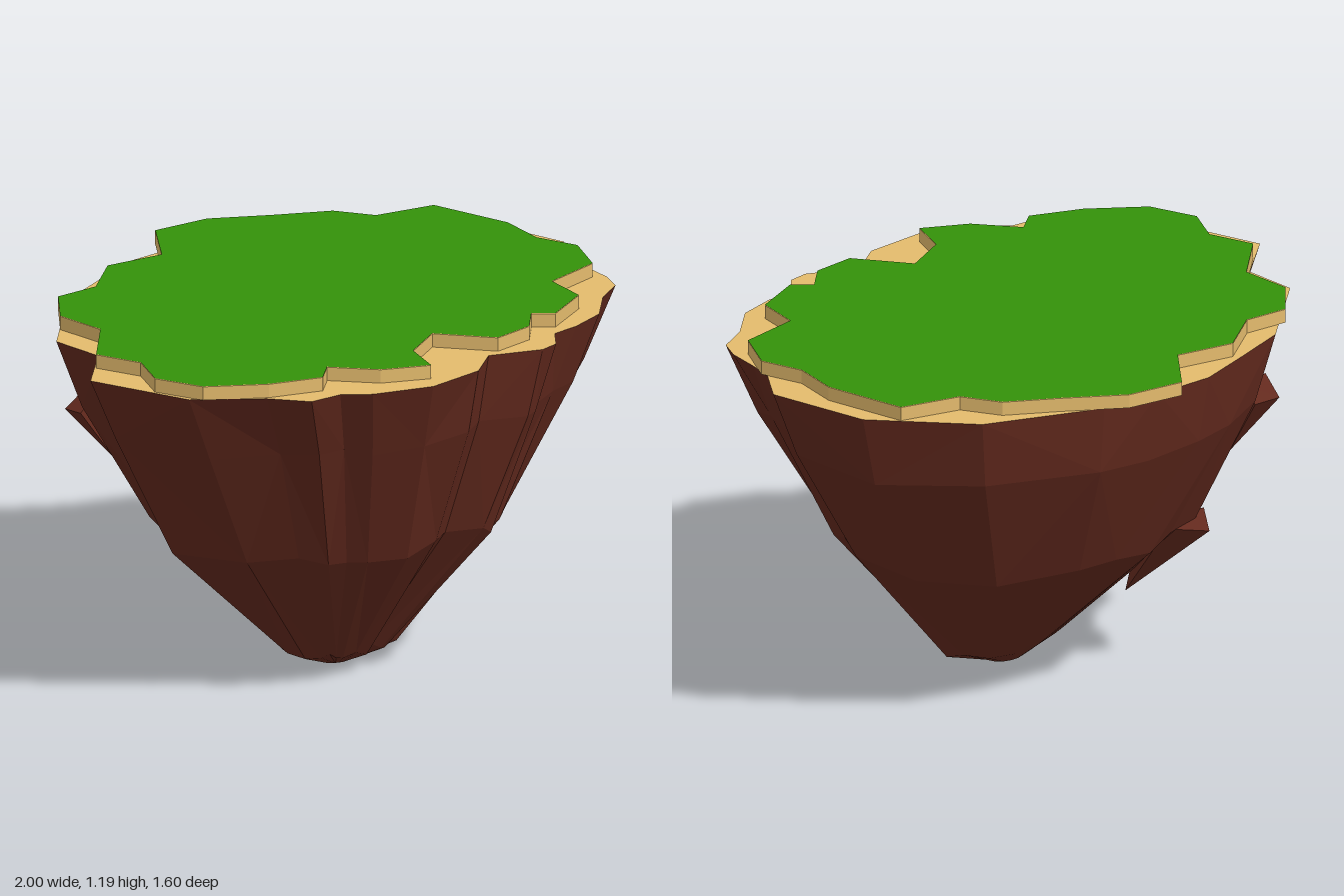
import * as THREE from 'three';
import { ConvexGeometry } from 'three/addons/geometries/ConvexGeometry.js';

const GROUND = 1.14; // height where rock meets the turf slab
const TOP = 1.185;

// Outlines as [x, z], running from the back over +x to the front
const ROCK = [
  [0.03, -0.765], [0.24, -0.73], [0.45, -0.68], [0.80, -0.47], [1.0, -0.15], [1.0, 0.21],
  [0.88, 0.33], [0.84, 0.42], [0.80, 0.53], [0.75, 0.60], [0.63, 0.64], [0.49, 0.73],
  [0.35, 0.745], [0.25, 0.735], [0.17, 0.80], [0.10, 0.80], [-0.05, 0.70], [-0.19, 0.765],
  [-0.40, 0.745], [-0.575, 0.64], [-0.64, 0.56], [-0.75, 0.53], [-0.81, 0.40], [-0.965, 0.21],
  [-1.0, -0.15], [-0.785, -0.28], [-0.75, -0.47], [-0.40, -0.69], [-0.18, -0.73],
];
const TURF = [
  [0.21, -0.80], [0.40, -0.74], [0.56, -0.59], [0.70, -0.47], [0.745, -0.335], [0.935, -0.25],
  [0.935, 0.04], [0.87, 0.20], [0.885, 0.35], [0.77, 0.495], [0.55, 0.50], [0.49, 0.65],
  [0.30, 0.70], [0.255, 0.64], [0.15, 0.71], [0, 0.70], [-0.09, 0.51], [-0.265, 0.565],
  [-0.345, 0.695], [-0.475, 0.595], [-0.555, 0.445], [-0.645, 0.495], [-0.80, 0.40],
  [-0.945, 0.25], [-0.97, 0.08], [-0.87, -0.05], [-0.89, -0.21], [-0.68, -0.35],
  [-0.65, -0.53], [-0.50, -0.65], [-0.35, -0.615], [-0.16, -0.71], [0.03, -0.64],
];

// Cross-sections of the rock: scale of the outline towards each side,
// inset of the front corners, and roughness
const RINGS = [
  { y: GROUND, right: 1, left: 1, front: 1, back: 1, cz: 0, corner: 0, rough: 0 },
  { y: 0.91, right: 0.94, left: 0.89, front: 0.94, back: 0.94, cz: 0, corner: 0.07, rough: 0.015 },
  { y: 0.50, right: 0.67, left: 0.64, front: 0.73, back: 0.70, cz: 0.01, corner: 0.09, rough: 0.02 },
  { y: 0.07, right: 0.24, left: 0.24, front: 0.18, back: 0.19, cz: 0.08, corner: 0, rough: 0.015 },
  { y: 0.005, right: 0.07, left: 0.07, front: 0.06, back: 0.06, cz: 0.07, corner: 0, rough: 0 },
];

const toShape = (pts) => new THREE.Shape(pts.map(([x, z]) => new THREE.Vector2(x, -z)));

function seeded(seed) {
  let s = seed;
  return () => {
    s = (s * 16807) % 2147483647;
    return (s / 2147483647) * 2 - 1;
  };
}

// Faceted, tapering underside lofted through the cross-sections
function rockGeometry() {
  const rnd = seeded(4321);
  const rings = RINGS.map((r) => ROCK.map(([x, z]) => {
    const k = 1 + rnd() * r.rough - 2 * r.corner * Math.abs(x) * Math.max(0, z);
    return [
      x * (x > 0 ? r.right : r.left) * k,
      r.y + rnd() * r.rough,
      z * (z > 0 ? r.front : r.back) * k + r.cz,
    ];
  }));
  const n = ROCK.length;
  const pos = [];
  for (let r = 0; r < rings.length - 1; r++) {
    for (let i = 0; i < n; i++) {
      const j = (i + 1) % n;
      const [a, b, c, d] = [rings[r][i], rings[r][j], rings[r + 1][j], rings[r + 1][i]];
      if ((i + r) % 2) pos.push(...a, ...b, ...c, ...a, ...c, ...d);
      else pos.push(...a, ...b, ...d, ...b, ...c, ...d);
    }
  }
  // closed tip
  const tip = rings[rings.length - 1];
  for (let i = 0; i < n; i++) pos.push(...tip[i], ...tip[(i + 1) % n], 0.01, 0, 0.07);
  const geo = new THREE.BufferGeometry();
  geo.setAttribute('position', new THREE.Float32BufferAttribute(pos, 3));
  geo.computeVertexNormals();
  return geo;
}

export function createModel() {
  const group = new THREE.Group();
  group.name = 'floatingIsland';
  const material = (name, color) => {
    const m = new THREE.MeshStandardMaterial({ color });
    m.name = name;
    return m;
  };
  const rock = material('darkRock', 0x642a1e);
  const sand = material('sand', 0xe4bb6d);
  const grass = material('grass', 0x349209);

  const add = (name, geo, mat, y = 0) => {
    const mesh = new THREE.Mesh(geo, mat);
    mesh.name = name;
    mesh.position.y = y;
    group.add(mesh);
  };
  const flat = (pts) => new THREE.ShapeGeometry(toShape(pts)).rotateX(-Math.PI / 2);
  const chip = (pts) => new ConvexGeometry(pts.map((p) => new THREE.Vector3(...p)));

  // Rock body and its sandy top face
  add('rockBody', rockGeometry(), rock);
  add('sandTop', flat(ROCK), sand, GROUND);

  // Rock ledges on the back, towards -x
  add('upperLedge', chip([
    [-0.65, 0.88, -0.45], [-0.41, 0.88, -0.60], [-0.57, 0.85, -0.57],
    [-0.46, 0.91, -0.51], [-0.46, 0.68, -0.46],
  ]), rock);
  add('lowerLedge', chip([
    [-0.34, 0.52, -0.45], [-0.12, 0.52, -0.48], [-0.23, 0.5, -0.56],
    [-0.17, 0.25, -0.27], [-0.22, 0.5, -0.3],
  ]), rock);

  // Turf slab: sandy edge and a green face on top
  const slab = new THREE.ExtrudeGeometry(toShape(TURF), { depth: TOP - GROUND - 0.001, bevelEnabled: false });
  add('turfEdge', slab.rotateX(-Math.PI / 2), sand, GROUND + 0.001);
  add('grassTop', flat(TURF), grass, TOP + 0.002);

  return group;
}
